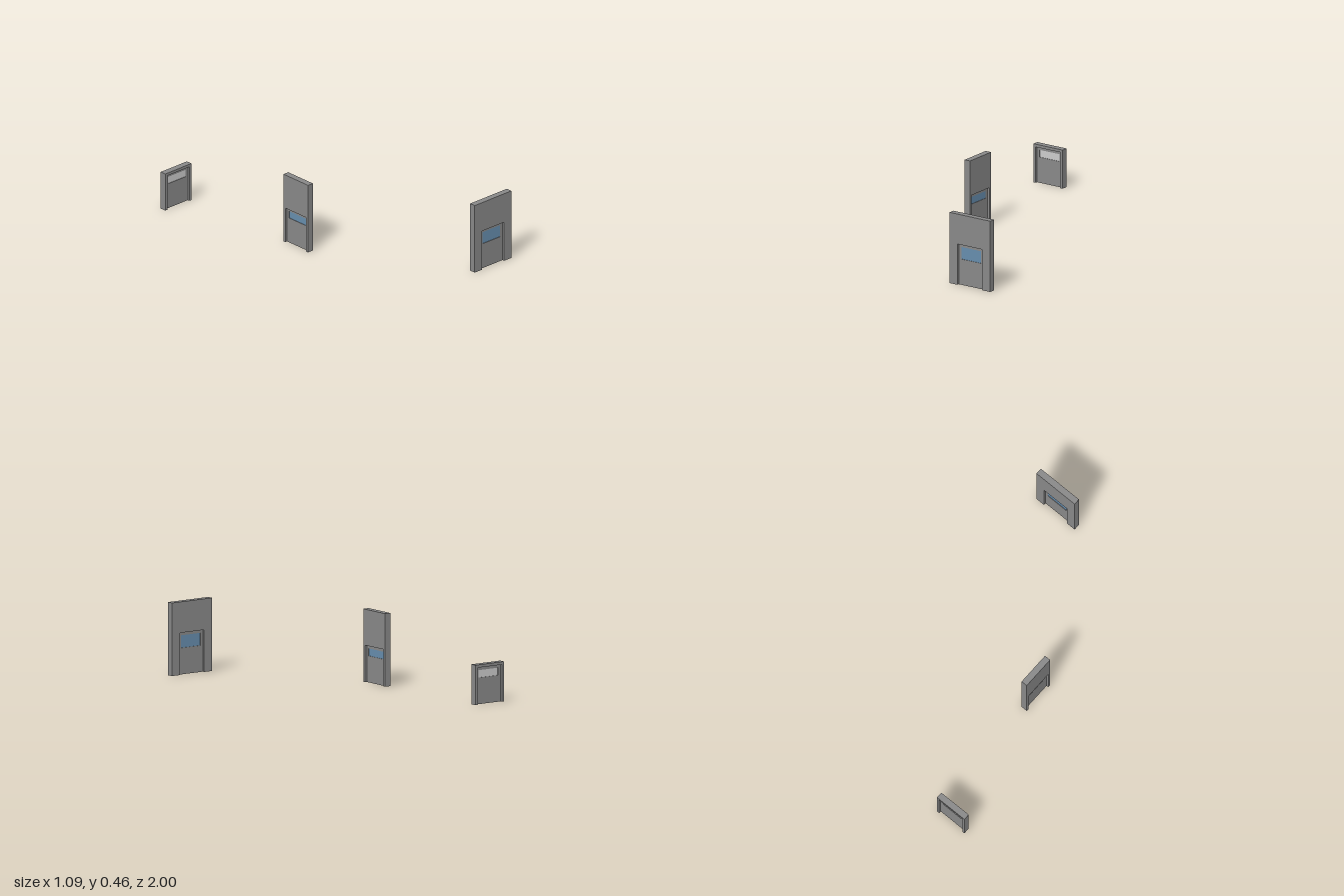
import * as THREE from 'three';

const WALL_DEPTH = 0.041, DOOR_DEPTH = 0.012, PANE_DEPTH = 0.006;
const paint = (color) => new THREE.MeshStandardMaterial({ color, flatShading: true });

// Extrude a closed outline (with optional hole), centred on its own depth
function slab(name, points, depth, material, hole) {
  const toVectors = (list) => list.map(([x, y]) => new THREE.Vector2(x, y));
  const shape = new THREE.Shape(toVectors(points));
  if (hole) shape.holes.push(new THREE.Path(toVectors(hole)));
  const geometry = new THREE.ExtrudeGeometry(shape, { depth, bevelEnabled: false });
  geometry.translate(0, 0, -depth / 2);
  const mesh = new THREE.Mesh(geometry, material);
  mesh.name = name;
  return mesh;
}

const rect = (halfWidth, bottom, top) => [
  [-halfWidth, bottom], [halfWidth, bottom], [halfWidth, top], [-halfWidth, top],
];

// A wall piece with a doorway, a recessed door and a window in the door
function doorway({ name, width, height, doorHeight, windowTop, glass }) {
  const group = new THREE.Group();
  group.name = name;
  const grey = paint(0x888888);
  const w = width / 2, d = 0.094, windowHalf = 0.075, sill = 0.166;

  // Wall with an opening reaching the ground
  group.add(slab('wall', [
    [-w, 0], [-d, 0], [-d, doorHeight], [d, doorHeight],
    [d, 0], [w, 0], [w, height], [-w, height],
  ], WALL_DEPTH, grey));

  // Door leaf and its window pane
  const opening = rect(windowHalf, sill, windowTop);
  group.add(slab('door', rect(d, 0, doorHeight), DOOR_DEPTH, grey, opening));
  group.add(slab('windowPane', opening, PANE_DEPTH, paint(glass)));
  return group;
}

export function createModel() {
  const model = new THREE.Group();
  model.name = 'doorways';

  // Wide, tall doorway at the front
  const front = doorway({
    name: 'wideDoorway', width: 0.31, height: 0.458,
    doorHeight: 0.264, windowTop: 0.245, glass: 0x668dad,
  });
  front.position.set(0.39, 0, 1 - WALL_DEPTH / 2);

  // Narrow, tall doorway turned sideways
  const middle = doorway({
    name: 'narrowDoorway', width: 0.222, height: 0.458,
    doorHeight: 0.232, windowTop: 0.213, glass: 0x668dad,
  });
  middle.rotation.y = Math.PI / 2;
  middle.position.set(-0.294, 0, -0.028);

  // Low doorway at the back
  const back = doorway({
    name: 'lowDoorway', width: 0.222, height: 0.25,
    doorHeight: 0.232, windowTop: 0.213, glass: 0xcccccc,
  });
  back.position.set(-0.433, 0, -1 + WALL_DEPTH / 2);

  model.add(front, middle, back);
  return model;
}
